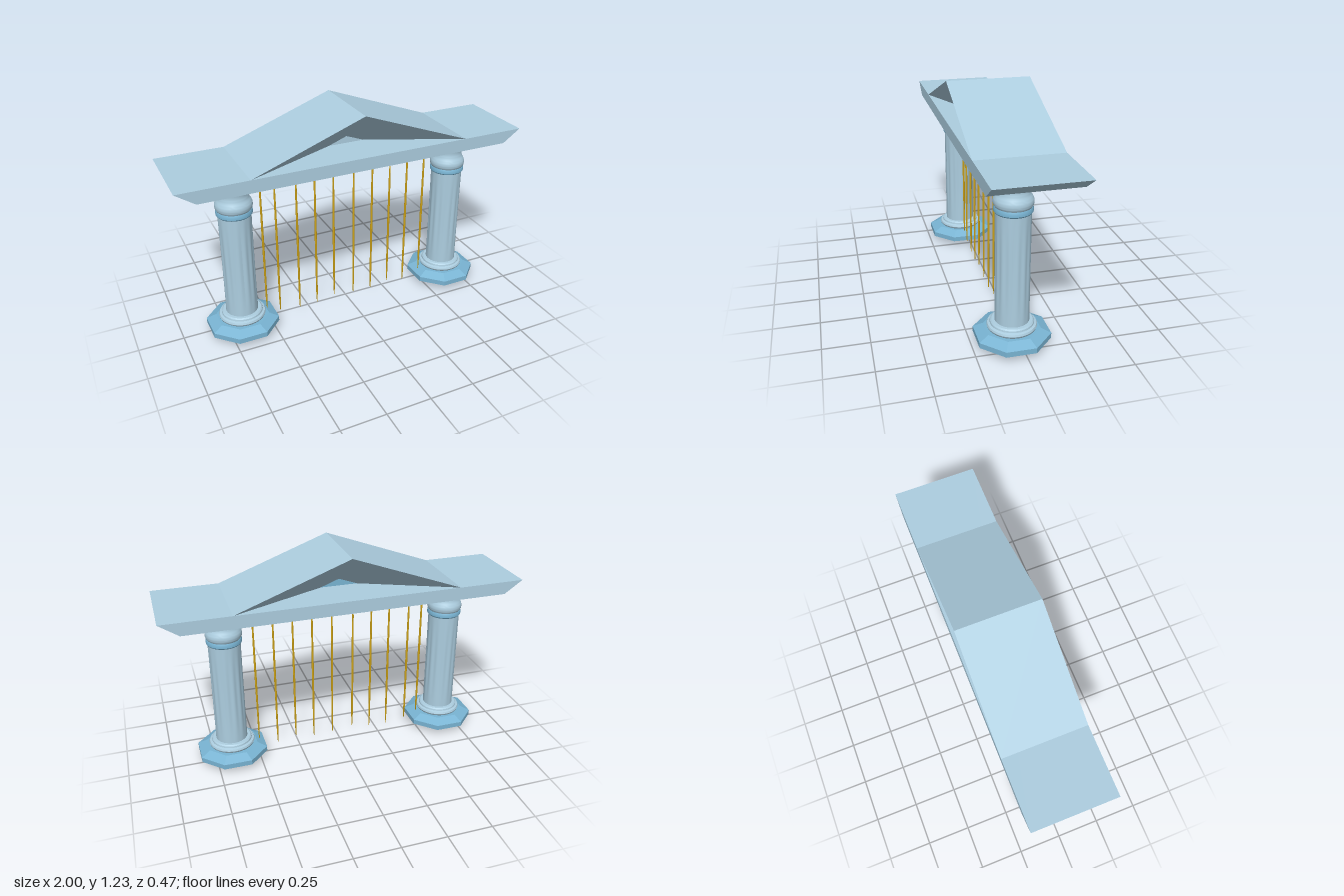
import * as THREE from 'three';
import { toCreasedNormals } from 'three/addons/utils/BufferGeometryUtils.js';

const mat = (name, color, side = THREE.FrontSide) => {
  const m = new THREE.MeshStandardMaterial({ color, side });
  m.name = name;
  return m;
};

export function createModel() {
  const stone = mat('pale blue stone', 0xaccddf);
  const stoneThin = mat('pale blue stone faces', 0xaccddf, THREE.DoubleSide);
  const blue = mat('blue stone', 0x79b4d3);
  const gold = mat('gold', 0xc99f16);
  const model = new THREE.Group();
  const Z = 0.036; // line of the columns and bars

  const add = (parent, name, geometry, material) => {
    const mesh = new THREE.Mesh(geometry, material);
    mesh.name = name;
    parent.add(mesh);
    return mesh;
  };
  const lathe = (pts, sides, crease = 0.6) => toCreasedNormals(
    new THREE.LatheGeometry(pts.map(([r, y]) => new THREE.Vector2(r, y)), sides), crease);

  // Shaft with shallow flutes that fade out at both ends
  function shaftGeometry() {
    const g = new THREE.CylinderGeometry(0.09, 0.09, 0.61, 84, 12, true);
    const p = g.attributes.position;
    for (let i = 0; i < p.count; i++) {
      const x = p.getX(i), z = p.getZ(i);
      const fade = Math.sin(Math.PI * (p.getY(i) / 0.61 + 0.5));
      const k = 1 - 0.05 * fade * Math.pow(Math.sin(7 * Math.atan2(z, x)), 2);
      p.setX(i, x * k);
      p.setZ(i, z * k);
    }
    g.translate(0, 0.435, 0);
    g.computeVertexNormals();
    return g;
  }

  // Columns
  const capital = new THREE.SplineCurve([
    [0.092, 0.768], [0.1, 0.785], [0.098, 0.81], [0.085, 0.835], [0.08, 0.862],
    [0.086, 0.892], [0.105, 0.915], [0.137, 0.934],
  ].map(([x, y]) => new THREE.Vector2(x, y))).getPoints(24).map((v) => [v.x, v.y]);

  for (const [name, x] of [['rightColumn', -0.663], ['leftColumn', 0.65]]) {
    const column = new THREE.Group();
    column.name = name;
    column.position.set(x, 0, Z);
    const foot = add(column, 'octagonalFoot', lathe([
      [0, 0.003], [0.135, 0.014], [0.205, 0.037], [0.205, 0.066], [0.15, 0.092], [0, 0.094],
    ], 8, 0.01), blue);
    foot.rotation.y = Math.PI / 8;
    add(column, 'baseMoulding', lathe([
      [0.118, 0.088], [0.128, 0.097], [0.131, 0.106], [0.127, 0.116], [0.115, 0.12],
      [0.113, 0.129], [0.106, 0.135], [0.085, 0.136],
    ], 40), stone);
    add(column, 'shaft', shaftGeometry(), stone);
    add(column, 'neckBand', lathe([
      [0.085, 0.737], [0.093, 0.738], [0.098, 0.745], [0.098, 0.76], [0.094, 0.769], [0.085, 0.77],
    ], 40), blue);
    add(column, 'capital', lathe(capital, 40), stone);
    model.add(column);
  }

  // Sloping-ended lintel
  const depth = 0.466, h = depth / 2;
  const outline = new THREE.Shape([
    [-0.895, 0.933], [0.895, 0.933], [1, 1.005], [-1, 1.005],
  ].map(([x, y]) => new THREE.Vector2(x, y)));
  const lintel = new THREE.ExtrudeGeometry(outline, { depth, bevelEnabled: false });
  lintel.translate(0, 0, -h);
  add(model, 'lintel', lintel, stone);

  // Gable roof whose two ends sink in to a small triangle at mid depth
  const L = [-0.62, 1.005], R = [0.63, 1.005], A = [0.005, 1.236];
  const l = [-0.1, 1.006], r = [0.11, 1.006], a = [0.005, 1.045];
  const quads = (list) => {
    const v = [];
    for (const [p, q, s, t] of list) v.push(...p, ...q, ...s, ...p, ...s, ...t);
    const g = new THREE.BufferGeometry();
    g.setAttribute('position', new THREE.Float32BufferAttribute(v, 3));
    g.computeVertexNormals();
    return g;
  };
  add(model, 'roofSlopes', quads([
    [[...L, h], [...A, h], [...A, -h], [...L, -h]].reverse(),
    [[...R, h], [...R, -h], [...A, -h], [...A, h]],
  ]), stoneThin);
  add(model, 'frontGableRecess', quads([
    [[...L, h], [...l, 0.002], [...a, 0.002], [...A, h]],
    [[...A, h], [...a, 0.002], [...r, 0.002], [...R, h]],
  ]), stoneThin);
  add(model, 'backGableRecess', quads([
    [[...A, -h], [...a, -0.002], [...l, -0.002], [...L, -h]],
    [[...R, -h], [...r, -0.002], [...a, -0.002], [...A, -h]],
  ]), stoneThin);

  // Small panels closing the recesses
  const panel = new THREE.ShapeGeometry(new THREE.Shape([l, r, a].map(([x, y]) => new THREE.Vector2(x, y))));
  add(model, 'frontGablePanel', panel, stone).position.z = 0.002;
  const back = add(model, 'backGablePanel', panel, blue);
  back.rotation.y = Math.PI;
  back.position.set(0.01, 0, -0.002);

  // Slender hanging bars, tapered at both ends: x, bottom, top
  const bars = [
    [-0.516, 0.08, 0.92], [-0.436, 0.045, 0.88], [-0.313, 0.03, 0.91], [-0.203, 0.03, 0.91],
    [-0.091, 0.052, 0.877], [0.035, 0.035, 0.9], [0.152, 0.03, 0.905], [0.265, 0.052, 0.872],
    [0.377, 0.03, 0.91], [0.489, 0.07, 0.91],
  ];
  const curtain = new THREE.Group();
  curtain.name = 'goldBars';
  for (const [x, y0, y1] of bars) {
    const bar = add(curtain, 'bar', lathe([
      [0, y0], [0.002, y0 + 0.005], [0.005, y0 + 0.08], [0.0065, (y0 + y1) / 2],
      [0.005, y1 - 0.08], [0.002, y1 - 0.005], [0, y1],
    ], 6), gold);
    bar.position.set(x, 0, Z);
  }
  model.add(curtain);
  return model;
}
